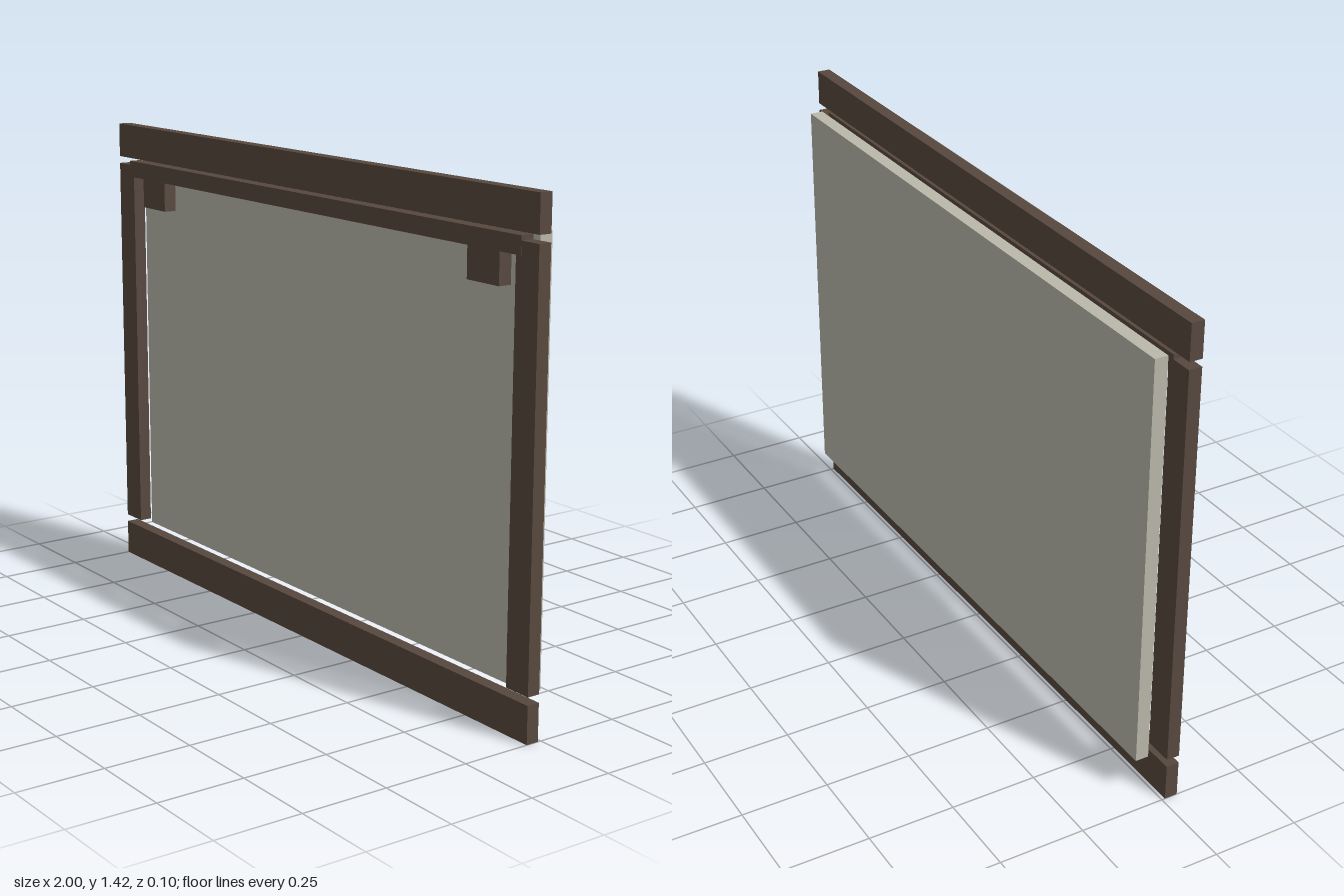
import * as THREE from 'three';

export function createModel() {
  const group = new THREE.Group();
  const wood = new THREE.MeshStandardMaterial({ color: 0x57483e });
  wood.name = 'dark brown wood';
  const backing = new THREE.MeshStandardMaterial({ color: 0xbab7aa });
  backing.name = 'pale grey panel';

  // Box given by its lower and upper limits on each axis
  function slab(name, material, [x0, x1], [y0, y1], [z0, z1]) {
    const mesh = new THREE.Mesh(new THREE.BoxGeometry(x1 - x0, y1 - y0, z1 - z0), material);
    mesh.position.set((x0 + x1) / 2, (y0 + y1) / 2, (z0 + z1) / 2);
    mesh.name = name;
    group.add(mesh);
  }

  const frameZ = [0.01, 0.048];

  // Outer frame with small gaps between its members
  slab('bottomRail', wood, [-1, 1], [0, 0.107], frameZ);
  slab('topRail', wood, [-1, 1], [1.317, 1.42], frameZ);
  slab('rightStile', wood, [-1, -0.915], [0.13, 1.295], frameZ);
  slab('leftStile', wood, [0.915, 1], [0.13, 1.295], frameZ);

  // Inner rail with two hanging tabs, cut as one piece
  const half = [[0.935, 1.308], [0.935, 1.258], [0.855, 1.258], [0.855, 1.17], [0.73, 1.17], [0.73, 1.258]];
  const mirrored = half.map(([x, y]) => [-x, y]).reverse();
  const outline = [...half, ...mirrored].map(([x, y]) => new THREE.Vector2(x, y));
  const tabbedRail = new THREE.Mesh(
    new THREE.ExtrudeGeometry(new THREE.Shape(outline), { depth: 0.039, bevelEnabled: false }),
    wood
  );
  tabbedRail.position.z = 0.01;
  tabbedRail.name = 'innerRailWithTabs';
  group.add(tabbedRail);

  // Panel standing just behind the frame
  slab('backPanel', backing, [-0.94, 0.94], [0.108, 1.313], [-0.048, -0.009]);

  return group;
}
